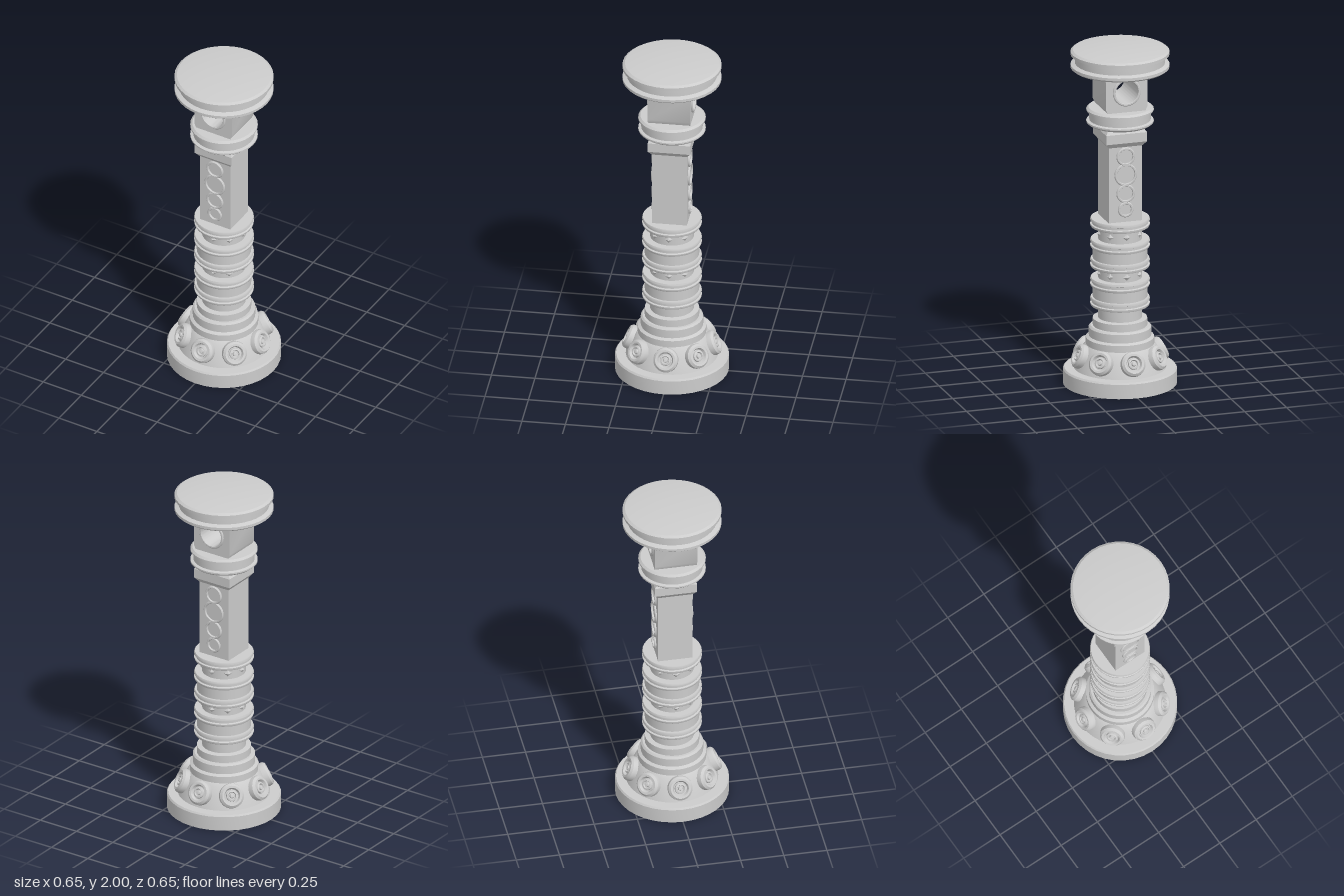
import * as THREE from 'three';
import { toCreasedNormals } from 'three/addons/utils/BufferGeometryUtils.js';

const material = new THREE.MeshStandardMaterial({ color: 0xcccccc });

function part(name, geometry, parent) {
  const mesh = new THREE.Mesh(geometry, material);
  mesh.name = name;
  parent.add(mesh);
  return mesh;
}

// Turned profile of [radius, height] pairs; four segments give a square section
function turned(profile, segments = 36) {
  const k = segments === 4 ? Math.SQRT2 : 1;
  const points = profile.map(([r, y]) => new THREE.Vector2(r * k, y));
  const start = segments === 4 ? Math.PI / 4 : 0;
  return toCreasedNormals(new THREE.LatheGeometry(points, segments, start), 0.5);
}

// Flat ring with a bevelled outer edge, facing +z
function rim(inner, outer, depth) {
  const b = (outer - inner) * 0.3;
  return turned([[inner, 0], [outer, 0], [outer, depth * 0.6], [outer - b, depth],
    [inner + b * 0.5, depth], [inner, depth * 0.7], [inner, 0]], 28).rotateX(Math.PI / 2);
}

// Flanged band with a groove between two lips
function groovedBand(y0, y1, r, groove, lip, bevel) {
  return turned([[0, y0], [r - bevel, y0], [r, y0 + lip * 0.45], [r, y0 + lip * 0.8], [groove, y0 + lip],
    [groove, y1 - lip], [r, y1 - lip * 0.8], [r, y1 - lip * 0.45], [r - bevel, y1], [0, y1]]);
}

export function createModel() {
  const model = new THREE.Group();
  model.name = 'column';

  // Foot disc and stepped bell
  part('footDisc', turned([[0, 0], [0.325, 0], [0.325, 0.085], [0.318, 0.095], [0, 0.095]]), model);
  part('bell', turned([[0.265, 0.09], [0.255, 0.12], [0.235, 0.17], [0.21, 0.22], [0.195, 0.235],
    [0.195, 0.275], [0.178, 0.285], [0.178, 0.335], [0.168, 0.345], [0.155, 0.345], [0.155, 0.388],
    [0.125, 0.392], [0.125, 0.47]]), model);

  // Round knobs leaning on the bell
  for (let i = 0; i < 8; i++) {
    const pivot = new THREE.Group();
    pivot.name = 'knob';
    pivot.rotation.y = i * Math.PI / 4;
    const knob = new THREE.Group();
    knob.position.set(0, 0.175, 0.236);
    knob.rotation.x = -0.44;
    part('knobBody', turned([[0.068, -0.04], [0.072, 0], [0.07, 0.017], [0.058, 0.029], [0.046, 0.028],
      [0.038, 0.012], [0.033, 0.012], [0.031, 0.022], [0.023, 0.025], [0.019, 0.015],
      [0.014, 0.015], [0.011, 0.026], [0, 0.029]], 24).rotateX(Math.PI / 2), knob);
    pivot.add(knob);
    model.add(pivot);
  }

  // Ribbed grip: core, wide sleeves, lipped rings and diamond studs
  part('gripCore', new THREE.CylinderGeometry(0.125, 0.125, 0.53, 36).translate(0, 0.715, 0), model);
  for (const y of [0.545, 0.775]) {
    part('gripSleeve', new THREE.CylinderGeometry(0.155, 0.155, 0.11, 36).translate(0, y, 0), model);
  }
  for (const y of [0.465, 0.58, 0.695, 0.81, 0.935]) {
    part('gripRing', groovedBand(y, y + 0.05, 0.17, 0.16, 0.018, 0.004), model);
  }
  for (const y of [0.66, 0.897]) {
    for (let i = 0; i < 8; i++) {
      const stud = part('diamondStud', new THREE.ConeGeometry(0.022, 0.014, 4).toNonIndexed(), model);
      stud.geometry.computeVertexNormals();
      stud.geometry.rotateX(Math.PI / 2).translate(0, 0, 0.13);
      stud.position.y = y;
      stud.rotation.y = i * Math.PI / 4;
    }
  }

  // Square shaft and its collar
  part('shaft', turned([[0.1, 0.97], [0.1, 1.45]], 4), model);
  part('shaftCollar', turned([[0.1, 1.432], [0.122, 1.46], [0.122, 1.515], [0.108, 1.535], [0.108, 1.56]], 4), model);

  // Graded rings on the front and back of the shaft
  for (const turn of [0, Math.PI]) {
    const rings = new THREE.Group();
    rings.name = 'shaftRings';
    rings.rotation.y = turn;
    for (const [y, r] of [[1.375, 0.055], [1.267, 0.067], [1.155, 0.055], [1.06, 0.046]]) {
      part('shaftRing', rim(r - 0.014, r, 0.012), rings).position.set(0, y, 0.099);
    }
    model.add(rings);
  }

  // Grooved disc below the neck
  part('neckDisc', groovedBand(1.545, 1.645, 0.192, 0.175, 0.025, 0.012), model);

  // Square neck with a round hole from front to back
  const outline = new THREE.Shape([[-0.11, 1.64], [0.11, 1.64], [0.124, 1.67], [0.124, 1.83], [0.135, 1.87],
    [-0.135, 1.87], [-0.124, 1.83], [-0.124, 1.67]].map(([x, y]) => new THREE.Vector2(x, y)));
  const hole = new THREE.Path();
  hole.absarc(0, 1.765, 0.069, 0, Math.PI * 2, true);
  outline.holes.push(hole);
  const block = new THREE.ExtrudeGeometry(outline, { depth: 0.244, bevelEnabled: false, curveSegments: 32 });
  part('neckBlock', toCreasedNormals(block.translate(0, 0, -0.122), 0.5), model);
  for (const turn of [0, Math.PI]) {
    const holeRim = new THREE.Group();
    holeRim.name = 'holeRim';
    holeRim.rotation.y = turn;
    part('holeRimRing', rim(0.068, 0.083, 0.01), holeRim).position.set(0, 1.765, 0.121);
    model.add(holeRim);
  }

  // Wide grooved head with a shallow dome
  part('head', turned([[0, 1.86], [0.13, 1.86], [0.27, 1.872], [0.282, 1.882], [0.282, 1.898], [0.257, 1.908],
    [0.257, 1.95], [0.282, 1.958], [0.282, 1.975], [0.268, 1.985], [0.2, 1.993], [0.1, 1.998], [0, 2]]), model);

  return model;
}
